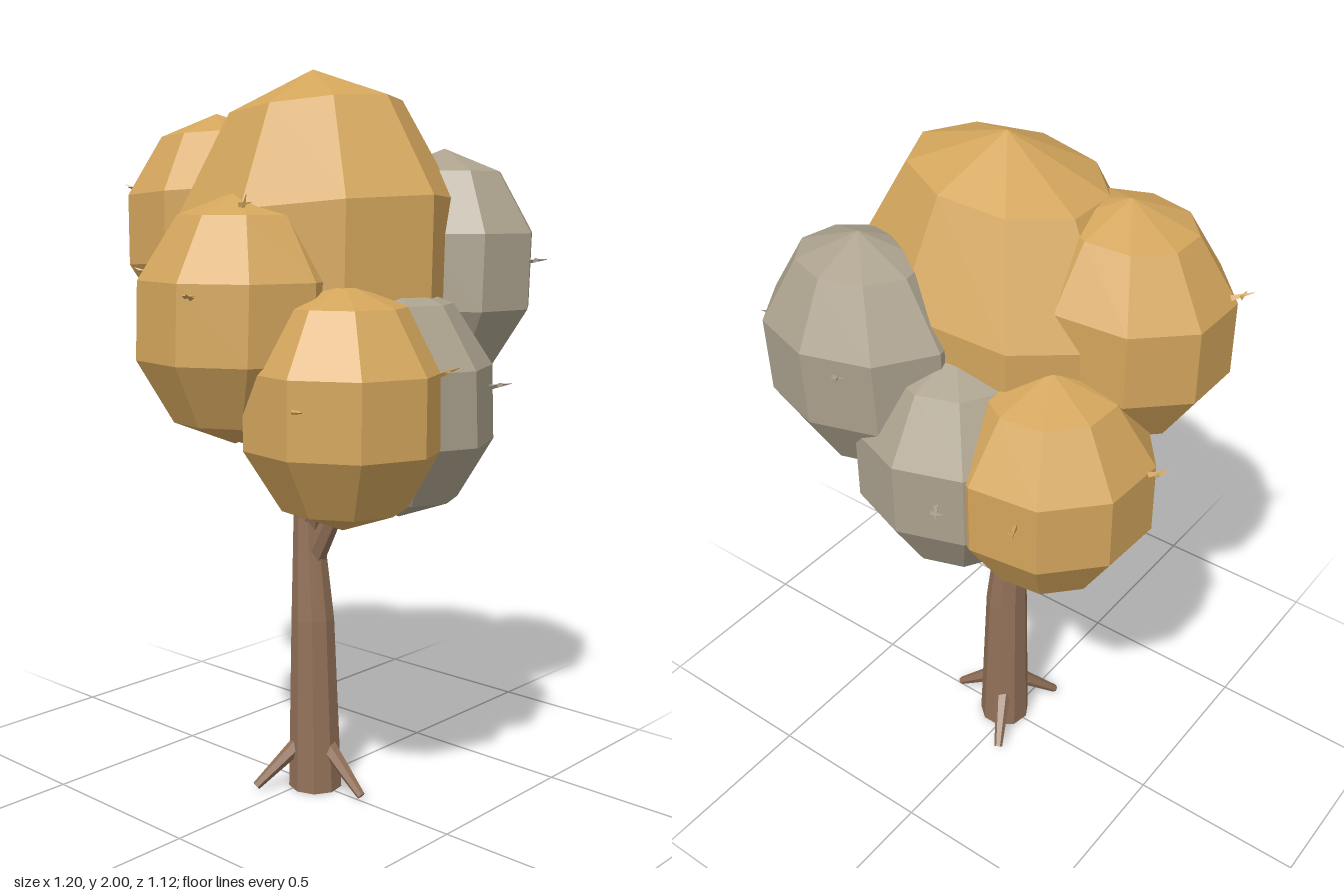
import * as THREE from 'three';

const gold = new THREE.MeshStandardMaterial({ color: 0xd3a55c });
gold.name = 'golden leaves';
const grey = new THREE.MeshStandardMaterial({ color: 0xaba18d });
grey.name = 'grey leaves';
const bark = new THREE.MeshStandardMaterial({ color: 0x927159 });
bark.name = 'brown bark';

const V = (p) => new THREE.Vector3(...p);
const UP = new THREE.Vector3(0, 1, 0);

// Faceted mesh: every face keeps its own normal
function facet(geometry, material, name) {
  const flat = geometry.toNonIndexed();
  flat.computeVertexNormals();
  const mesh = new THREE.Mesh(flat, material);
  mesh.name = name;
  return mesh;
}

// Tapered limb between two points
function limb(from, to, r0, r1, sides, material, name) {
  const a = V(from), b = V(to), dir = b.clone().sub(a);
  const mesh = facet(new THREE.CylinderGeometry(r1, r0, dir.length(), sides), material, name);
  mesh.position.copy(a).add(b).multiplyScalar(0.5);
  mesh.quaternion.setFromUnitVectors(UP, dir.normalize());
  return mesh;
}

// Trunk: rings moved to follow a slight lean [x, y, radius]
function trunk() {
  const rings = [[-0.01, 1.1, 0.03], [0.003, 0.7, 0.047], [0.016, 0.5, 0.061], [0.026, 0.003, 0.076]];
  const geometry = new THREE.CylinderGeometry(1, 1, 3, 9, 3);
  const p = geometry.attributes.position;
  for (let i = 0; i < p.count; i++) {
    const [x, y, r] = rings[Math.round(1.5 - p.getY(i))];
    p.setXYZ(i, x + p.getX(i) * r, y, p.getZ(i) * r);
  }
  return facet(geometry, bark, 'trunk');
}

// Leaf clumps: centre, radii, material, turn, skew (rise toward +x, top pushed toward +z)
// and the sprigs on their surface
const clumps = [
  { name: 'crownClump', at: [0, 1.465, -0.005], size: [0.44, 0.535, 0.36], mat: gold, turn: Math.PI,
    skew: [0.1, -0.02], sprigs: [] },
  { name: 'upperRightClump', at: [-0.31, 1.585, 0.045], size: [0.285, 0.31, 0.255], mat: gold, turn: 0.35,
    skew: [0.06, 0], sprigs: [[-0.57, 1.69, 0.12], [-0.22, 1.58, 0.29]] },
  { name: 'frontClump', at: [0.015, 1.36, 0.285], size: [0.285, 0.325, 0.27], mat: gold, turn: 0.35,
    skew: [0, -0.04], sprigs: [[0.1, 1.43, 0.53], [-0.25, 1.47, 0.36], [0.1, 1.64, 0.35]] },
  { name: 'lowerLeftClump', at: [0.295, 1.145, 0.19], size: [0.28, 0.315, 0.27], mat: gold, turn: Math.PI,
    skew: [0, 0], sprigs: [[0.56, 1.25, 0.12], [0.37, 1.17, 0.44]] },
  { name: 'lowerRightClump', at: [-0.28, 1.24, -0.22], size: [0.28, 0.31, 0.27], mat: gold, turn: 0.31,
    skew: [0, 0], sprigs: [[-0.36, 1.28, -0.48], [-0.55, 1.34, -0.17], [-0.39, 1.46, -0.2]] },
  { name: 'upperBackClump', at: [0.215, 1.472, -0.3], size: [0.285, 0.325, 0.25], mat: grey, turn: 0.52,
    skew: [0, -0.04], sprigs: [[0.48, 1.5, -0.36], [0.13, 1.53, -0.51]] },
  { name: 'lowerLeftBackClump', at: [0.3, 1.145, -0.01], size: [0.275, 0.315, 0.25], mat: grey, turn: Math.PI,
    skew: [0, 0.06], sprigs: [[0.57, 1.2, -0.08]] },
  { name: 'lowerBackClump', at: [-0.04, 1.245, -0.275], size: [0.275, 0.315, 0.265], mat: grey, turn: 0.52,
    skew: [0, 0], sprigs: [[-0.17, 1.28, -0.53]] },
];

function leafClump({ name, at, size, mat, turn, skew, sprigs }) {
  const group = new THREE.Group();
  group.name = name;
  const ball = new THREE.SphereGeometry(1, 9, 5).rotateY(turn).scale(...size);
  ball.applyMatrix4(new THREE.Matrix4().makeShear(skew[0], 0, 0, skew[1], 0, 0));
  const leaves = facet(ball, mat, 'leafMass');
  leaves.position.set(...at);
  group.add(leaves);
  // Each sprig is two tiny spikes in a zigzag
  for (const s of sprigs) {
    const p = V(s), out = p.clone().sub(V(at)).normalize();
    const side = new THREE.Vector3().crossVectors(UP, out).normalize();
    const tip = (o, t) => p.clone().addScaledVector(out, o).addScaledVector(side, t).toArray();
    group.add(limb(tip(-0.02, 0), tip(0.035, 0.01), 0.008, 0.001, 3, mat, 'sprig'));
    group.add(limb(tip(0.008, -0.008), tip(0.014, 0.024), 0.007, 0.001, 3, mat, 'sprig'));
  }
  return group;
}

export function createModel() {
  const tree = new THREE.Group();
  tree.name = 'tree';
  tree.add(trunk());

  // Three roots spread evenly around the base
  for (let i = 0; i < 3; i++) {
    const a = (i * Math.PI * 2) / 3, c = Math.cos(a), s = Math.sin(a);
    tree.add(limb([0.025 + c * 0.05, 0.13, s * 0.05], [0.025 + c * 0.175, 0.018, s * 0.175],
      0.024, 0.012, 6, bark, 'root'));
  }

  // Branches rising into the clumps
  const branches = [
    [[0.015, 0.66, 0], [0.22, 1.03, 0.01]],
    [[0.01, 0.75, 0], [0.12, 1.1, 0.08]],
    [[0, 0.67, -0.01], [0, 1.05, -0.2]],
    [[-0.01, 0.75, 0], [-0.15, 1.06, -0.07]],
  ];
  for (const [from, to] of branches) tree.add(limb(from, to, 0.03, 0.018, 6, bark, 'branch'));

  for (const clump of clumps) tree.add(leafClump(clump));
  return tree;
}
